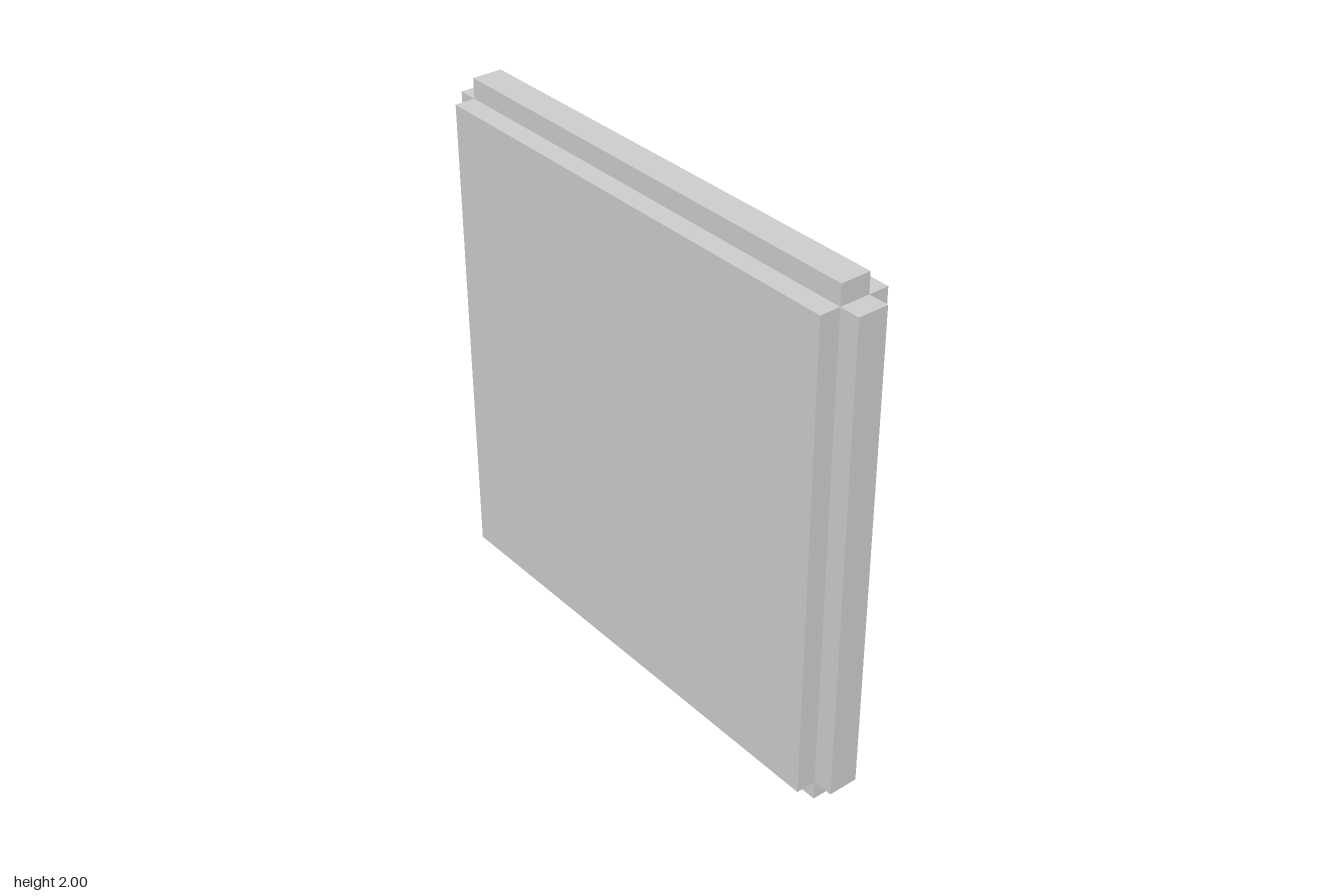
import * as THREE from 'three';

const material = new THREE.MeshStandardMaterial({ color: 0xcccccc, flatShading: true });

// Box of size w x h spanning z0..z1, centred on x = 0 and on height y
function slab(name, w, h, z0, z1, y) {
  const mesh = new THREE.Mesh(new THREE.BoxGeometry(w, h, z1 - z0), material);
  mesh.name = name;
  mesh.position.set(0, y, (z0 + z1) / 2);
  return mesh;
}

export function createModel() {
  const model = new THREE.Group();
  model.name = 'ribbedPanel';

  // Main panel with flanges standing out on all four edges
  const panel = new THREE.Group();
  panel.name = 'panel';
  panel.add(
    slab('panelCore', 1.844, 1.846, -0.077, 0.193, 1),
    slab('sideFlanges', 2, 1.846, 0, 0.115, 1),
    slab('topBottomFlanges', 1.844, 2, 0, 0.115, 1),
  );
  model.add(panel);

  // Five stepped horizontal ribs on the back
  for (let i = 0; i < 5; i++) {
    const y = 1.01 + (i - 2) * 0.347;
    const rib = new THREE.Group();
    rib.name = `rib${i + 1}`;
    rib.add(
      slab('ribCore', 1.61, 0.09, -0.193, -0.077, y),
      slab('ribEnds', 1.694, 0.09, -0.153, -0.077, y),
      slab('ribShoulders', 1.61, 0.168, -0.153, -0.077, y),
    );
    model.add(rib);
  }
  return model;
}
